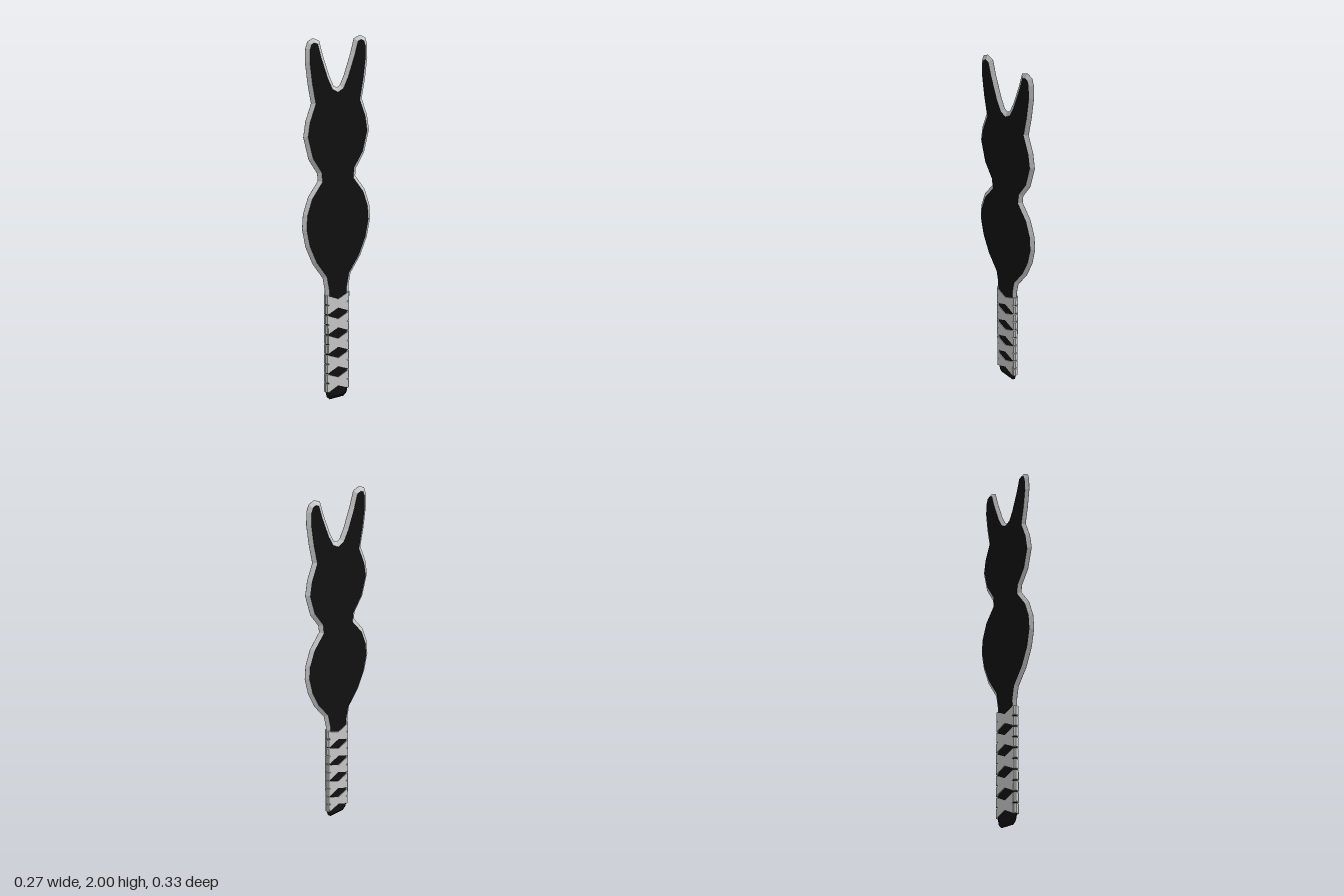
import * as THREE from 'three';

const black = new THREE.MeshStandardMaterial({ color: 0x111111, flatShading: true });
const grey = new THREE.MeshStandardMaterial({ color: 0xcccccc, flatShading: true });

const HALF = 0.0145;   // half thickness of the plate
const INSET = 0.02;    // width of the bevelled rim

// Closed shape from the right half of a symmetric outline, bottom to top
function mirrored(points) {
  const left = points.filter(([x]) => x > 0).map(([x, y]) => [-x, y]).reverse();
  return new THREE.Shape([...points, ...left].map(([x, y]) => new THREE.Vector2(x, y)));
}

// Thin plate whose edges slope to a ridge at mid thickness
function plate(name, shape, half, rimMaterial) {
  const ridge = 0.001;
  const geo = new THREE.ExtrudeGeometry(shape, {
    depth: ridge, bevelEnabled: true, bevelSegments: 1, steps: 1,
    bevelSize: INSET, bevelOffset: -INSET, bevelThickness: half - ridge / 2,
  });
  geo.translate(0, 0, -ridge / 2);
  const mesh = new THREE.Mesh(geo, [black, rimMaterial]);
  mesh.name = name;
  return mesh;
}

function extruded(name, points, depth) {
  const shape = new THREE.Shape(points.map(([x, y]) => new THREE.Vector2(x, y)));
  const mesh = new THREE.Mesh(new THREE.ExtrudeGeometry(shape, { depth, bevelEnabled: false }), grey);
  mesh.name = name;
  return mesh;
}

// Crossed straps on both faces, joined by bands round the handle edges
function wrapCross(y, pitch, width) {
  const cross = new THREE.Group();
  cross.name = 'gripWrapCross';
  const w = width / 2, rise = pitch / 4, reach = 0.064;
  for (const side of [-1, 1]) {
    for (const dir of [-1, 1]) {
      const strap = extruded('wrapStrap', [
        [-reach, -dir * rise - w], [reach, dir * rise - w],
        [reach, dir * rise + w], [-reach, -dir * rise + w],
      ], 0.004);
      strap.position.set(0, y, side > 0 ? 0.0135 : -0.0175);
      cross.add(strap);

      const band = extruded('wrapEdgeBand', [
        [side * 0.058, -0.0175], [side * 0.068, -0.0165], [side * 0.076, -0.008],
        [side * 0.076, 0.008], [side * 0.068, 0.0165], [side * 0.058, 0.0175],
      ], width);
      band.rotation.x = -Math.PI / 2;
      band.position.y = y + dir * rise - w;
      cross.add(band);
    }
  }
  return cross;
}

export function createModel() {
  const model = new THREE.Group();
  model.name = 'paddle';

  // Blade: round body, waist, head and two ears
  const blade = mirrored([
    [0.075, 0.575], [0.075, 0.65], [0.088, 0.72], [0.15, 0.81], [0.192, 0.91],
    [0.212, 1.01], [0.206, 1.09], [0.175, 1.18], [0.115, 1.26], [0.119, 1.30],
    [0.17, 1.38], [0.2, 1.5], [0.187, 1.58], [0.153, 1.67], [0.172, 1.77], [0.186, 1.88],
    [0.184, 1.95], [0.172, 1.985], [0.14, 2.0], [0.103, 1.985], [0.082, 1.91],
    [0.043, 1.80], [0.018, 1.75], [0, 1.74],
  ]);
  model.add(plate('blade', blade, HALF, grey));

  // Handle with rounded butt
  const handle = mirrored([
    [0.045, 0], [0.064, 0.018], [0.072, 0.05], [0.072, 0.63],
  ]);
  model.add(plate('handle', handle, HALF - 0.0005, black));

  // Grip wrapping
  const pitch = 0.115;
  for (let i = 0; i < 5; i++) model.add(wrapCross(0.105 + i * pitch, pitch, 0.049));

  // The paddle stands turned about its long axis
  model.rotation.y = THREE.MathUtils.degToRad(51);
  const root = new THREE.Group();
  root.name = 'paddleModel';
  root.add(model);
  return root;
}
